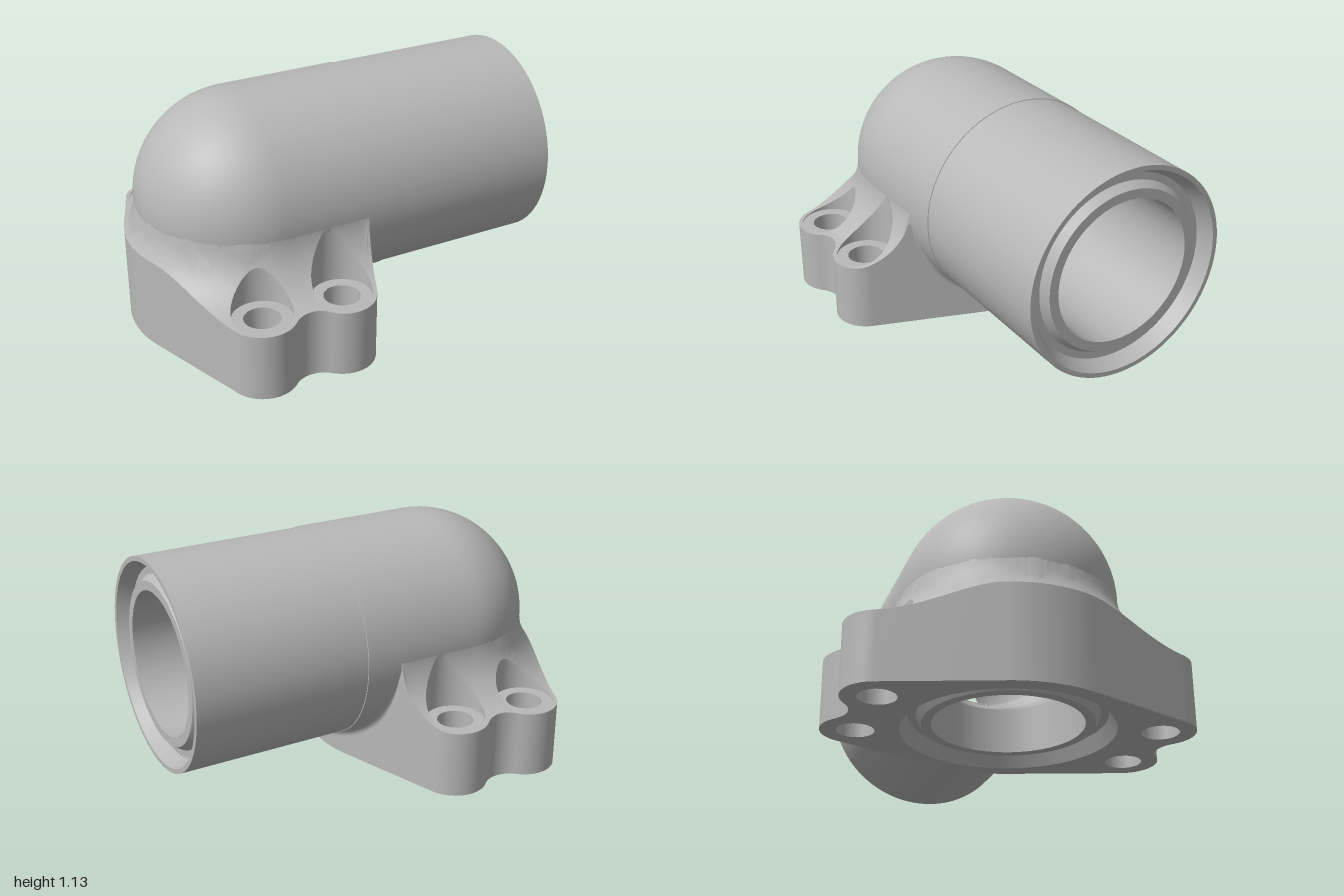
import * as THREE from 'three';
import { mergeVertices, toCreasedNormals } from 'three/addons/utils/BufferGeometryUtils.js';

const CX = -0.435, CY = 0.615;            // port axis x, pipe axis height
const R = 0.512, BORE = 0.345;            // pipe outer and inner radius
const HOLE = 0.085, SPOT = 0.14, SPOT_Y = 0.32;
const BOLTS = [[0.2, 0.65], [-0.2, 0.65], [-0.2, -0.65], [0.2, -0.65]];
const rad = THREE.MathUtils.degToRad;

// distance from the pipe axis in plan, and the height of the concave fillet there
const dist = (x, z) => (x > 0 ? Math.abs(z) : Math.hypot(x, z));
const filletY = (x, z) => {
  const k = 0.81 - THREE.MathUtils.clamp(dist(x, z), 0.51, 0.81);
  return 0.625 - Math.sqrt(Math.max(0, 0.09 - k * k));
};

// closed skin over rings of [x, y, z] points
function loft(rings) {
  const n = rings[0].length, index = [];
  for (let r = 0; r < rings.length - 1; r++) {
    for (let i = 0; i < n; i++) {
      const a = r * n + i, b = r * n + (i + 1) % n;
      index.push(a, a + n, b, b, a + n, b + n);
    }
  }
  const g = new THREE.BufferGeometry();
  g.setAttribute('position', new THREE.Float32BufferAttribute(rings.flat(2), 3));
  g.setIndex(index);
  g.computeVertexNormals();
  return g;
}

// flange plan: round centre, four bolt bosses and concave notches between them
function flangeOutline() {
  const a = rad(19.5), s = new THREE.Shape();
  s.absarc(0, 0, 0.565, -a, a);
  s.absarc(0.2, 0.65, 0.16, a, rad(133.6));
  s.absarc(0, 0.86, 0.13, rad(-46.4), rad(-133.6), true);
  s.absarc(-0.2, 0.65, 0.16, rad(46.4), Math.PI - a);
  s.absarc(0, 0, 0.565, Math.PI - a, Math.PI + a);
  s.absarc(-0.2, -0.65, 0.16, Math.PI + a, rad(313.6));
  s.absarc(0, -0.86, 0.13, rad(133.6), rad(46.4), true);
  s.absarc(0.2, -0.65, 0.16, rad(226.4), 2 * Math.PI - a);
  s.closePath();
  return s.getSpacedPoints(320).slice(0, -1);
}

const circle = (x, y, r) => new THREE.Path().absarc(x, y, r, 0, Math.PI * 2);

// flat shape, subdivided and lifted onto the fillet surface
function filletTop(outline) {
  const outer = outline.filter(p => dist(p.x, p.y) >= R);
  const inner = [new THREE.Vector2(outer.at(-1).x, -0.507)];
  for (let i = 0; i <= 60; i++) {
    const t = -Math.PI / 2 - Math.PI * i / 60;
    inner.push(new THREE.Vector2(0.507 * Math.cos(t), 0.507 * Math.sin(t)));
  }
  inner.push(new THREE.Vector2(outer[0].x, 0.507));
  const shape = new THREE.Shape([...outer, ...inner]);
  shape.holes = BOLTS.map(([x, z]) => circle(x, z, SPOT));
  const flat = new THREE.ShapeGeometry(shape, 32).toNonIndexed().attributes.position;
  const stack = [], out = [];
  for (let i = 0; i < flat.count; i += 3) {
    stack.push([0, 1, 2].map(k => [flat.getX(i + k), flat.getY(i + k)]));
  }
  while (stack.length) {
    const t = stack.pop();
    const len = t.map((p, k) => Math.hypot(p[0] - t[(k + 1) % 3][0], p[1] - t[(k + 1) % 3][1]));
    const m = len.indexOf(Math.max(...len));
    const a = t[m], b = t[(m + 1) % 3], c = t[(m + 2) % 3];
    if (len[m] > 0.035) {
      const h = [(a[0] + b[0]) / 2, (a[1] + b[1]) / 2];
      stack.push([a, h, c], [h, b, c]);
    } else {
      for (const [x, z] of [a, c, b]) out.push(x, filletY(x, z), z);
    }
  }
  let g = new THREE.BufferGeometry();
  g.setAttribute('position', new THREE.Float32BufferAttribute(out, 3));
  g = mergeVertices(g, 1e-5);
  g.computeVertexNormals();
  return g;
}

// vertical flange side, flaring softly into the underside of the pipe
function flangeWall(outline) {
  const rings = [outline.map(p => [p.x, 0, p.y])];
  for (let k = 0; k <= 4; k++) {
    const a = k / 4 * Math.PI / 2;
    rings.push(outline.map(({ x, y: z }) => {
      const d = dist(x, z);
      if (d >= R) return [x, filletY(x, z), z];
      const f = 0.04 * Math.min(1, (R - d) / 0.1);
      const top = CY - Math.sqrt(R * R - z * z);
      return [x + f * (1 - Math.cos(a)), top - f + f * Math.sin(a), z];
    }));
  }
  return loft(rings);
}

// domed pipe along x, opened underneath where the port passes through
function pipeBody() {
  const pts = [];
  for (let i = 0; i <= 28; i++) {
    const t = i / 28 * Math.PI / 2;
    pts.push(new THREE.Vector2(R * Math.sin(t), CX - R * Math.cos(t)));
  }
  for (let i = 1; i <= 10; i++) pts.push(new THREE.Vector2(R, CX + 0.059 * i));
  pts.push(new THREE.Vector2(0.508, 0.156), new THREE.Vector2(0.508, 1), new THREE.Vector2(0.485, 1));
  const g = new THREE.LatheGeometry(pts, 96);
  g.rotateZ(-Math.PI / 2).translate(0, CY, 0);
  const p = g.attributes.position, idx = g.index.array, keep = [];
  for (let i = 0; i < idx.length; i += 3) {
    const t = [idx[i], idx[i + 1], idx[i + 2]];
    const mean = f => t.reduce((s, v) => s + p[f](v), 0) / 3;
    if (mean('getY') > CY || Math.hypot(mean('getX') - CX, mean('getZ')) > 0.43) keep.push(...t);
  }
  g.setIndex(keep);
  return toCreasedNormals(g, 0.5);
}

// tapered seal groove with a slightly sunk inner lip
function sealSeat() {
  const pts = [[0.485, 0], [0.45, 0.07], [0.415, 0.07], [0.39, 0.03], [BORE, 0.03]];
  return toCreasedNormals(new THREE.LatheGeometry(pts.map(p => new THREE.Vector2(...p)), 96), 0.4);
}

// right-angle inner passage
function bore() {
  const b = 0.36, v = (x, y) => new THREE.Vector3(x, y, 0);
  const path = new THREE.CurvePath();
  path.add(new THREE.LineCurve3(v(CX, 0.03), v(CX, CY - b)));
  const arc = [];
  for (let i = 0; i <= 16; i++) {
    const t = Math.PI - i / 16 * Math.PI / 2;
    arc.push(v(CX + b + b * Math.cos(t), CY - b + b * Math.sin(t)));
  }
  for (let i = 0; i < 16; i++) path.add(new THREE.LineCurve3(arc[i], arc[i + 1]));
  path.add(new THREE.LineCurve3(v(CX + b, CY), v(0.97, CY)));
  return new THREE.TubeGeometry(path, 90, BORE, 72, false);
}

export function createModel() {
  const model = new THREE.Group();
  model.name = 'elbowFlange';
  const metal = new THREE.MeshStandardMaterial({ color: 0xb8b8b8, side: THREE.DoubleSide });
  metal.name = 'greyMetal';
  const add = (parent, name, geometry) => {
    const mesh = new THREE.Mesh(geometry, metal);
    mesh.name = name;
    parent.add(mesh);
    return mesh;
  };

  add(model, 'pipeBody', pipeBody());
  add(model, 'bore', bore());
  add(model, 'pipeSealSeat', sealSeat().rotateZ(Math.PI / 2)).position.set(1, CY, 0);

  const flange = new THREE.Group();
  flange.name = 'flange';
  flange.position.x = CX;
  model.add(flange);
  const outline = flangeOutline();
  add(flange, 'flangeWall', flangeWall(outline));
  add(flange, 'flangeFillet', filletTop(outline));
  const base = new THREE.Shape(outline);
  base.holes = [circle(0, 0, 0.485), ...BOLTS.map(([x, z]) => circle(x, z, HOLE))];
  add(flange, 'flangeBase', new THREE.ShapeGeometry(base, 48).rotateX(Math.PI / 2));
  add(flange, 'portSealSeat', sealSeat());

  // bolt holes with flat spot faces cut into the fillet
  for (const [x, z] of BOLTS) {
    const ring = circle(x, z, SPOT).getSpacedPoints(64).slice(0, -1);
    add(flange, 'spotWall', loft([
      ring.map(p => [p.x, filletY(p.x, p.y), p.y]),
      ring.map(p => [p.x, SPOT_Y, p.y]),
    ]));
    add(flange, 'spotFace', new THREE.RingGeometry(HOLE, SPOT, 48).rotateX(-Math.PI / 2)).position.set(x, SPOT_Y, z);
    add(flange, 'boltHole', new THREE.CylinderGeometry(HOLE, HOLE, SPOT_Y, 48, 1, true)).position.set(x, SPOT_Y / 2, z);
  }
  return model;
}
